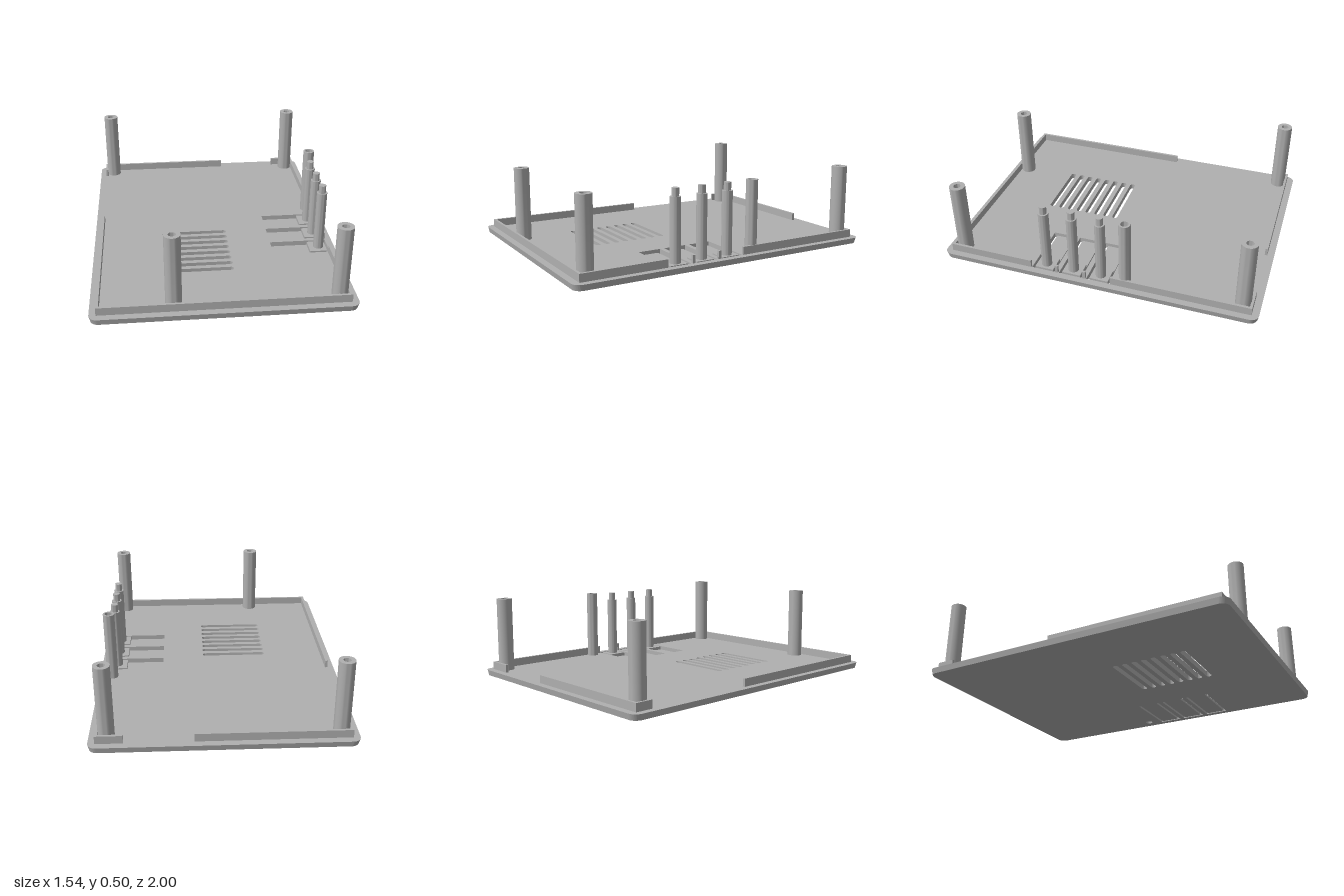
import * as THREE from 'three';
import { toCreasedNormals } from 'three/addons/utils/BufferGeometryUtils.js';

const W = 0.77, L = 1, FLOOR = 0.036, WALL_TOP = 0.085;
const BUTTON_Z = [-0.021, 0.157, 0.335];

export function createModel() {
  const root = new THREE.Group();
  root.name = 'enclosureCover';
  const grey = new THREE.MeshStandardMaterial({ color: 0xb0b0b0 });
  grey.name = 'grey plastic';

  const add = (name, geometry, x = 0, y = 0, z = 0) => {
    const mesh = new THREE.Mesh(geometry, grey);
    mesh.name = name;
    mesh.position.set(x, y, z);
    root.add(mesh);
    return mesh;
  };
  // Box given by its limits on each axis
  const block = (name, x0, x1, y0, y1, z0, z1) =>
    add(name, new THREE.BoxGeometry(x1 - x0, y1 - y0, z1 - z0),
      (x0 + x1) / 2, (y0 + y1) / 2, (z0 + z1) / 2);
  // Turned part from [radius, height] pairs, outside upwards
  const turned = (name, profile, x, z) => {
    const points = profile.map(([r, y]) => new THREE.Vector2(r, y));
    add(name, toCreasedNormals(new THREE.LatheGeometry(points, 32), 0.6), x, 0, z);
  };

  // Base plate outline in x and z, with rounded corners
  const r = 0.05;
  const plate = new THREE.Shape();
  plate.absarc(W - r, L - r, r, 0, Math.PI / 2);
  plate.absarc(-W + r, L - r, r, Math.PI / 2, Math.PI);
  plate.absarc(-W + r, -L + r, r, Math.PI, Math.PI * 1.5);
  plate.absarc(W - r, -L + r, r, Math.PI * 1.5, Math.PI * 2);
  plate.closePath();

  // Speaker slots
  for (let i = 0; i < 8; i++) {
    const z = 0.092 + i * 0.0647, h = 0.017;
    const slot = new THREE.Path();
    slot.absarc(0.095 - h, z, h, -Math.PI / 2, Math.PI / 2);
    slot.absarc(-0.328 + h, z, h, Math.PI / 2, Math.PI * 1.5);
    slot.closePath();
    plate.holes.push(slot);
  }
  // Button openings
  for (const z of BUTTON_Z) {
    plate.holes.push(new THREE.Path([
      [0.365, z - 0.074], [0.728, z - 0.074], [0.728, z + 0.074], [0.365, z + 0.074],
    ].map(([x, y]) => new THREE.Vector2(x, y))));
  }
  // Light hole
  const lightHole = new THREE.Path();
  lightHole.absarc(0.69, -0.182, 0.024, 0, Math.PI * 2);
  plate.holes.push(lightHole);

  const plateGeometry = new THREE.ExtrudeGeometry(plate, { depth: FLOOR, bevelEnabled: false, curveSegments: 10 });
  plateGeometry.rotateX(Math.PI / 2).translate(0, FLOOR, 0);
  // Draw in the bottom rim a little
  const p = plateGeometry.attributes.position;
  for (let i = 0; i < p.count; i++) {
    const outer = Math.abs(p.getX(i)) > 0.74 || Math.abs(p.getZ(i)) > 0.94;
    if (outer && p.getY(i) < 0.001) {
      p.setX(i, p.getX(i) * 0.991);
      p.setZ(i, p.getZ(i) * 0.993);
    }
  }
  add('basePlate', toCreasedNormals(plateGeometry, 0.5));

  // Locating rim, broken by gaps
  const X = 0.73, Z = 0.957, T = 0.016;
  const rim = (x0, x1, z0, z1) => block('rimWall', x0, x1, FLOOR, WALL_TOP, z0, z1);
  rim(-X, X, Z - T, Z);
  rim(-X, 0.17, -Z, -Z + T);
  rim(0.57, X, -Z, -Z + T);
  rim(-X, -X + T, -Z + T, -0.845);
  rim(-X, -X + T, -0.13, Z - T);
  rim(X - T, X, -Z + T, -0.1);
  rim(X - T, X, 0.415, Z - T);
  for (const z of [0.068, 0.246]) rim(X - T, X, z - 0.009, z + 0.009);

  // Screw posts with blind holes
  for (const [x, z] of [[-0.67, -0.896], [0.667, -0.896], [0.667, 0.895], [-0.292, 0.895]]) {
    turned('screwPost', [[0.048, FLOOR], [0.048, 0.5], [0.022, 0.5], [0.022, 0.25], [0, 0.25]], x, z);
  }

  // Light tube, open right through
  turned('lightTube', [[0.036, FLOOR], [0.036, 0.48], [0.024, 0.48], [0.024, FLOOR]], 0.69, -0.182);

  // Sprung buttons: thin hinge, thick pad and stepped plunger
  for (const z of BUTTON_Z) {
    block('buttonHinge', 0.364, 0.605, 0, 0.014, z - 0.059, z + 0.059);
    block('buttonPad', 0.605, 0.714, 0, FLOOR, z - 0.059, z + 0.059);
    turned('buttonPlunger', [[0.032, FLOOR], [0.032, 0.425], [0.022, 0.425], [0.022, 0.475], [0, 0.475]], 0.667, z);
  }
  return root;
}
